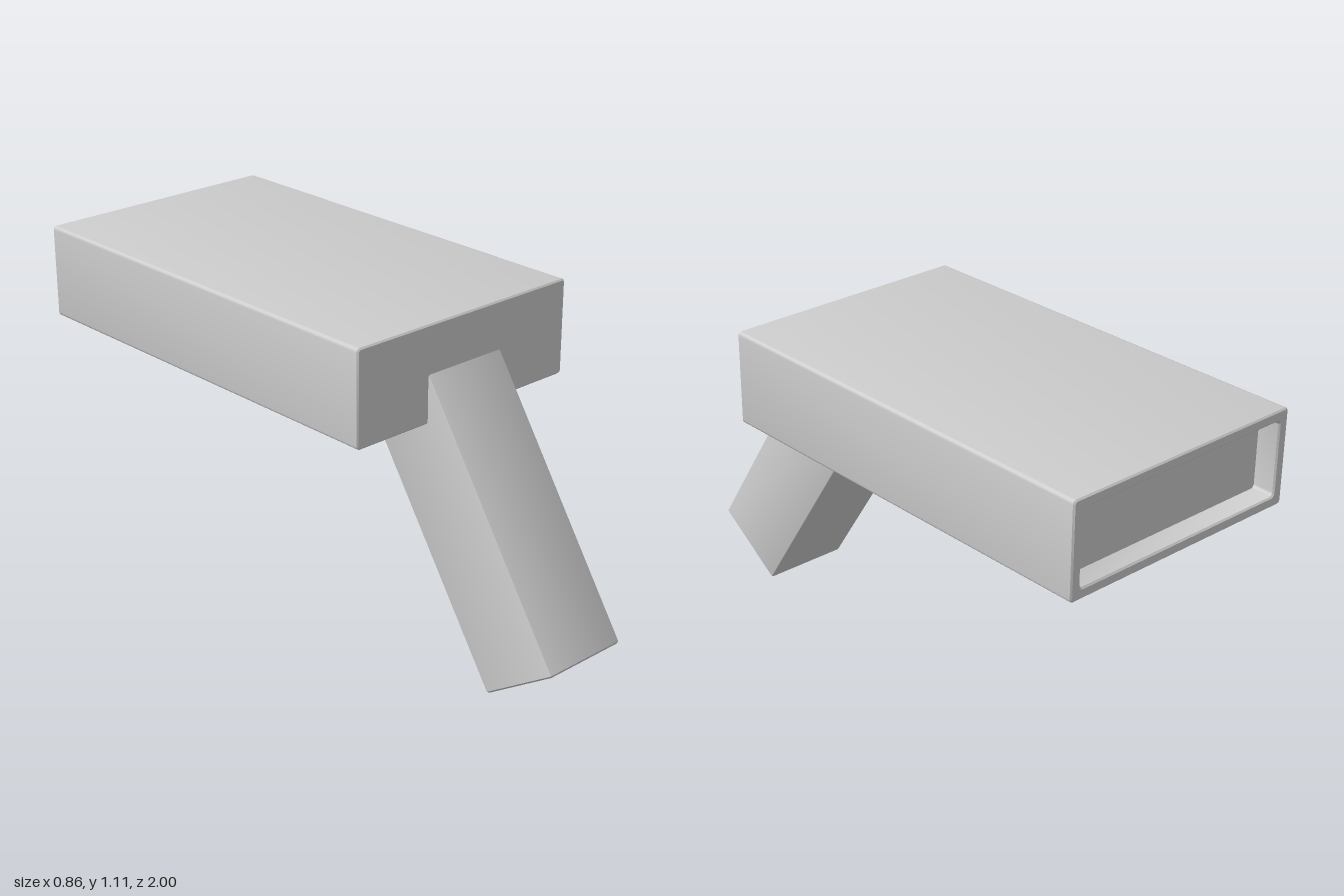
import * as THREE from 'three';
import { toCreasedNormals } from 'three/addons/utils/BufferGeometryUtils.js';

const SEG = 4; // steps per rounded corner

// Outline of a rounded rectangle, counter-clockwise seen from +z
function ring(w, h, r, z) {
  const pts = [];
  [[1, 1], [-1, 1], [-1, -1], [1, -1]].forEach(([sx, sy], c) => {
    for (let i = 0; i <= SEG; i++) {
      const a = (c + i / SEG) * Math.PI / 2;
      pts.push([sx * (w / 2 - r) + r * Math.cos(a), sy * (h / 2 - r) + r * Math.sin(a), z]);
    }
  });
  return pts;
}

// Skin a series of rings from front to back and cap both ends
function loft(rings) {
  const n = rings[0].length, pos = rings.flat(2), idx = [];
  for (let k = 0; k < rings.length - 1; k++) {
    for (let i = 0; i < n; i++) {
      const a = k * n + i, b = k * n + (i + 1) % n;
      idx.push(a, a + n, b, b, a + n, b + n);
    }
  }
  const last = (rings.length - 1) * n;
  for (let i = 1; i < n - 1; i++) {
    idx.push(0, i, i + 1, last, last + i + 1, last + i);
  }
  const geo = new THREE.BufferGeometry();
  geo.setAttribute('position', new THREE.Float32BufferAttribute(pos, 3));
  geo.setIndex(idx);
  return toCreasedNormals(geo, 0.6);
}

export function createModel() {
  const group = new THREE.Group();
  const material = new THREE.MeshStandardMaterial({ color: 0xcccccc });
  const add = (name, geometry) => {
    const mesh = new THREE.Mesh(geometry, material);
    mesh.name = name;
    group.add(mesh);
    return mesh;
  };

  // Wide housing with a shallow recess in its back end
  const W = 0.86, H = 0.312, bevel = 0.005, wall = 0.035;
  const housing = add('housing', loft([
    ring(W - 2 * bevel, H - 2 * bevel, 0.008, 0.477),
    ring(W, H, 0.012, 0.477 - bevel),
    ring(W, H, 0.012, -1 + bevel),
    ring(W - 2 * bevel, H - 2 * bevel, 0.008, -1),
    ring(W - 2 * wall + 0.01, H - 2 * wall + 0.01, 0.015, -1),
    ring(W - 2 * wall, H - 2 * wall, 0.012, -0.995),
    ring(W - 2 * wall, H - 2 * wall, 0.012, -0.925),
  ]));
  housing.position.y = 0.956;

  // Square slanted handle, its upper end buried in the housing
  const S = 0.302;
  const handle = add('handle', loft([
    ring(S - 2 * bevel, S - 2 * bevel, 0.004, 0),
    ring(S, S, 0.006, -bevel),
    ring(S, S, 0.006, -1.03),
  ]));
  handle.position.set(0, 0.086, 0.873);
  handle.rotation.x = 0.985;

  return group;
}
